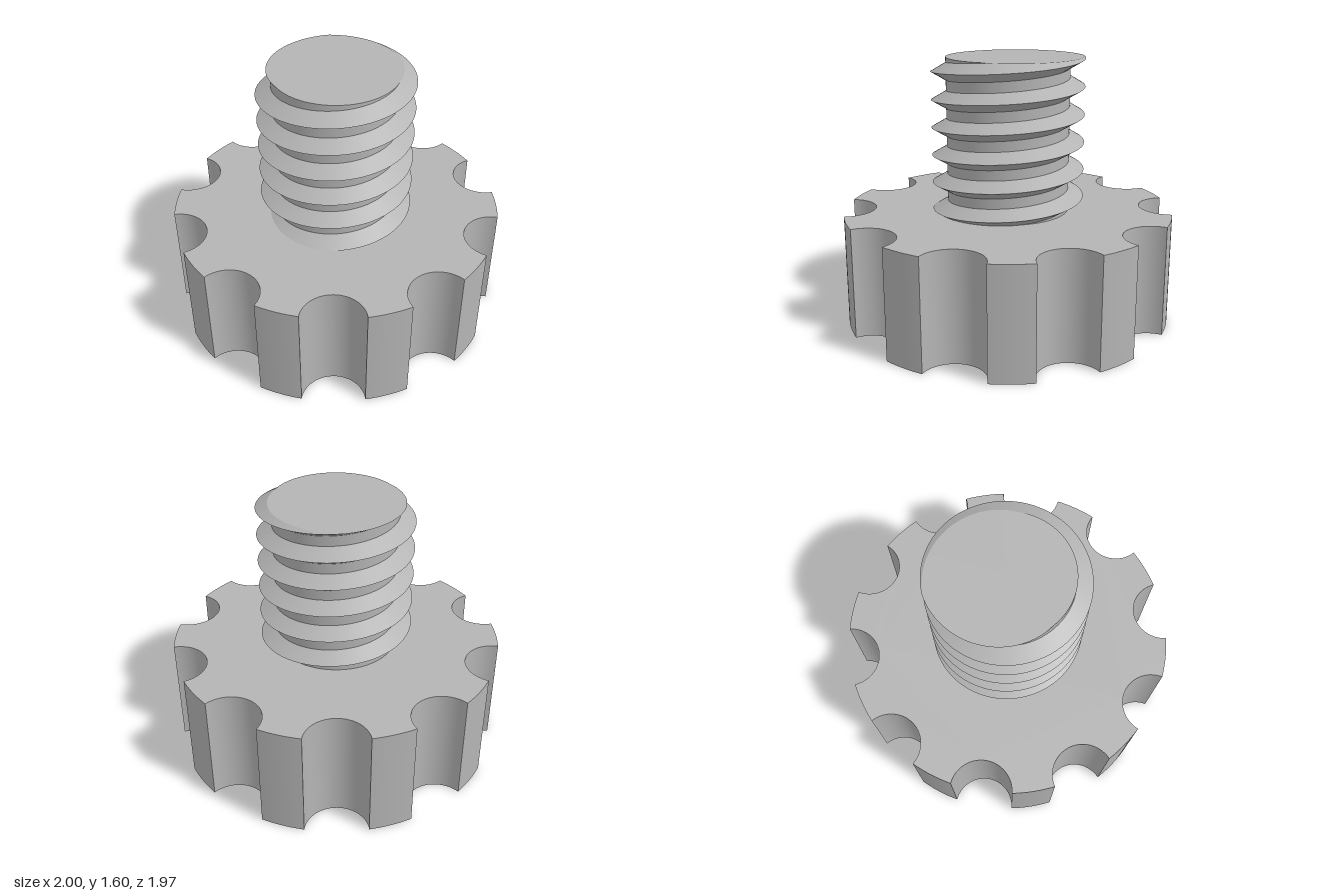
import * as THREE from 'three';
import { toCreasedNormals } from 'three/addons/utils/BufferGeometryUtils.js';

const KNOB_TOP = 0.67, TOP = 1.6;
const ROOT = 0.37, CREST = 0.46, PITCH = 0.1675, HALF = 0.053, CREST_Y = 1.555;

// Round grip with ten scalloped notches
function knobGeometry() {
  const shape = new THREE.Shape();
  const count = 10, notch = 0.185;
  const step = (Math.PI * 2) / count, half = 2 * Math.asin(notch / 2);
  for (let i = 0; i < count; i++) {
    const c = Math.PI / 2 + i * step;
    shape.absarc(Math.cos(c), Math.sin(c), notch,
      c - Math.PI / 2 - half / 2, c + Math.PI / 2 + half / 2, true);
    shape.absarc(0, 0, 1, c + half, c + step - half, false);
  }
  const geo = new THREE.ExtrudeGeometry(shape, { depth: KNOB_TOP, bevelEnabled: false, curveSegments: 20 });
  geo.rotateX(-Math.PI / 2);
  return toCreasedNormals(geo, 0.5);
}

// Shaft radius at a turn fraction and height: a V ridge along a right-handed helix
function shaftRadius(turn, y) {
  const t = (y - CREST_Y) / PITCH - turn;
  const d = Math.abs(t - Math.round(t)) * PITCH;
  return ROOT + (CREST - ROOT) * Math.max(0, 1 - d / HALF);
}

// Columns of root-crest-root points that climb with the helix, cut flat at both ends
function shaftGeometry() {
  const segments = 120, bottom = KNOB_TOP - 0.01;
  const column = (j) => {
    const turn = j / segments, a = turn * Math.PI * 2, points = [];
    for (let k = -8; k <= 2; k++) {
      for (const offset of [-HALF, 0, HALF]) {
        const y = THREE.MathUtils.clamp(CREST_Y + PITCH * (k + turn) + offset, bottom, TOP);
        const r = shaftRadius(turn, y);
        points.push(new THREE.Vector3(r * Math.cos(a), y, -r * Math.sin(a)));
      }
    }
    return points;
  };
  const positions = [];
  const triangle = (a, b, c) => {
    const area = b.clone().sub(a).cross(c.clone().sub(a)).length();
    if (area > 1e-8) for (const p of [a, b, c]) positions.push(p.x, p.y, p.z);
  };
  const centre = new THREE.Vector3(0, TOP, 0);
  for (let j = 0; j < segments; j++) {
    const p = column(j), q = column(j + 1), last = p.length - 1;
    for (let i = 0; i < last; i++) {
      triangle(p[i], q[i], q[i + 1]);
      triangle(p[i], q[i + 1], p[i + 1]);
    }
    triangle(centre, p[last], q[last]); // flat end
  }
  const geo = new THREE.BufferGeometry();
  geo.setAttribute('position', new THREE.Float32BufferAttribute(positions, 3));
  return toCreasedNormals(geo, 0.5);
}

export function createModel() {
  const grey = new THREE.MeshStandardMaterial({ color: 0xb4b4b4 });
  grey.name = 'grey';
  const group = new THREE.Group();
  group.name = 'thumbScrew';
  const knob = new THREE.Mesh(knobGeometry(), grey);
  knob.name = 'scallopedKnob';
  const shaft = new THREE.Mesh(shaftGeometry(), grey);
  shaft.name = 'threadedShaft';
  group.add(knob, shaft);
  return group;
}
